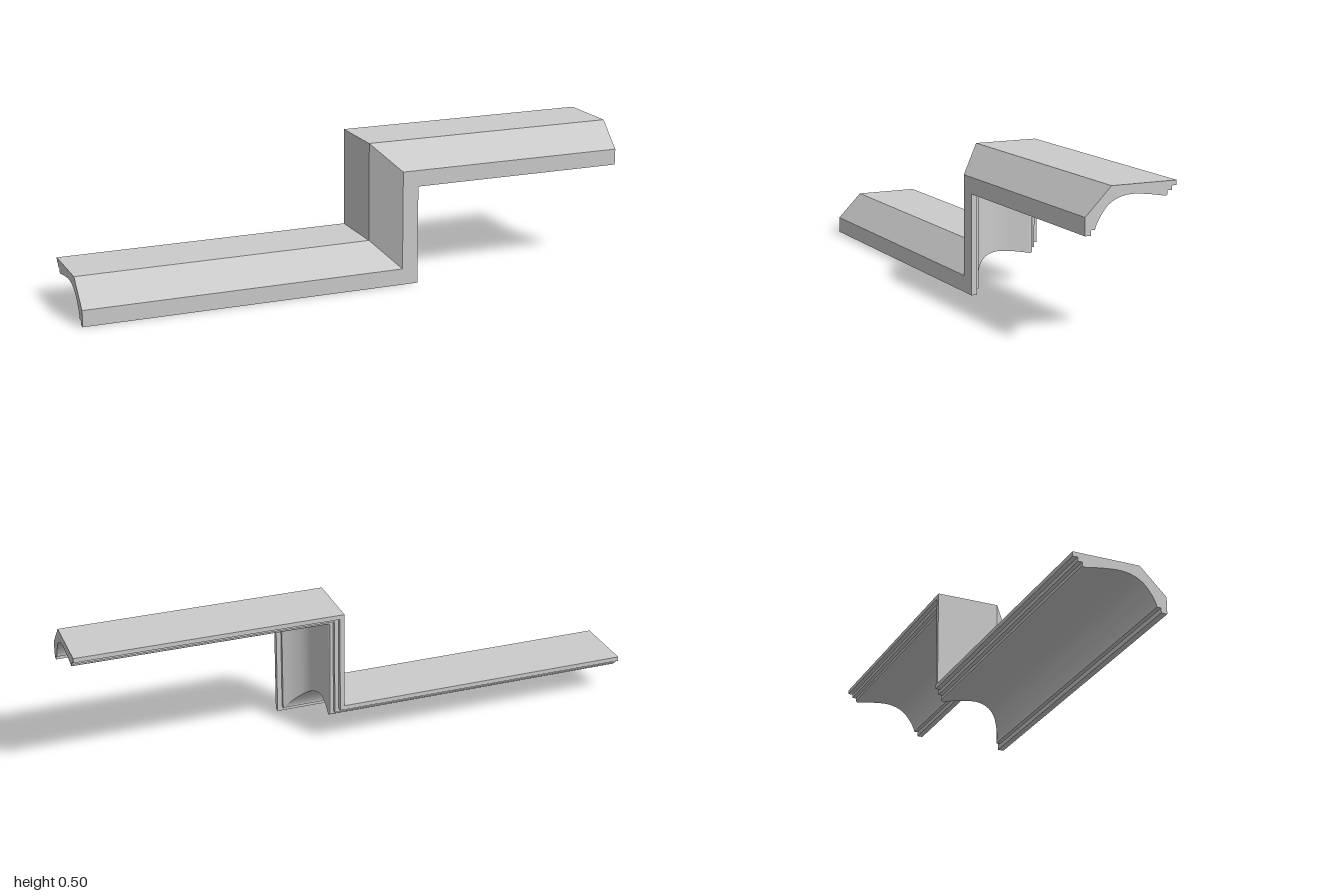
import * as THREE from 'three';
import { toCreasedNormals } from 'three/addons/utils/BufferGeometryUtils.js';

// Moulding section: x = front-to-back position, y = depth below the outer face
function mouldingSection() {
  const s = new THREE.Shape();
  s.moveTo(-0.16, 0);
  s.lineTo(0.07, 0);
  s.lineTo(0.16, 0.09); // chamfered front edge
  s.lineTo(0.16, 0.148);
  s.lineTo(0.139, 0.148); // front fillet
  s.lineTo(0.139, 0.131);
  s.lineTo(0.125, 0.131);
  // hollow cove
  s.splineThru([
    [0.123, 0.122], [0.109, 0.094], [0.082, 0.06], [0.046, 0.039], [0, 0.031],
    [-0.06, 0.036], [-0.114, 0.045], [-0.124, 0.045], [-0.128, 0.042],
  ].map(([x, y]) => new THREE.Vector2(x, y)));
  // stepped back lip
  s.lineTo(-0.128, 0.03);
  s.lineTo(-0.143, 0.03);
  s.lineTo(-0.143, 0.016);
  s.lineTo(-0.16, 0.016);
  s.closePath();
  return s;
}

export function createModel() {
  const group = new THREE.Group();
  group.name = 'steppedCornice';

  // Outer path: start point and mitre direction in which depth grows
  const path = [
    { x: -1, y: 0.148, dx: 0, dy: -1 },
    { x: 0.065, y: 0.148, dx: 1, dy: -1 },
    { x: 0.065, y: 0.5, dx: 1, dy: -1 },
    { x: 1, y: 0.5, dx: 0, dy: -1 },
  ];
  const steps = path.length - 1;
  const geo = new THREE.ExtrudeGeometry(mouldingSection(), {
    depth: steps, steps, bevelEnabled: false, curveSegments: 4,
  });

  // Lay each extruded layer onto its mitred path corner
  const p = geo.attributes.position;
  for (let i = 0; i < p.count; i++) {
    const c = path[Math.round(p.getZ(i))];
    const depth = p.getY(i);
    p.setXYZ(i, c.x + c.dx * depth, c.y + c.dy * depth, p.getX(i));
  }

  const moulding = new THREE.Mesh(
    toCreasedNormals(geo, 0.5),
    new THREE.MeshStandardMaterial({ color: 0xcccccc })
  );
  moulding.name = 'coveMoulding';
  group.add(moulding);
  return group;
}
